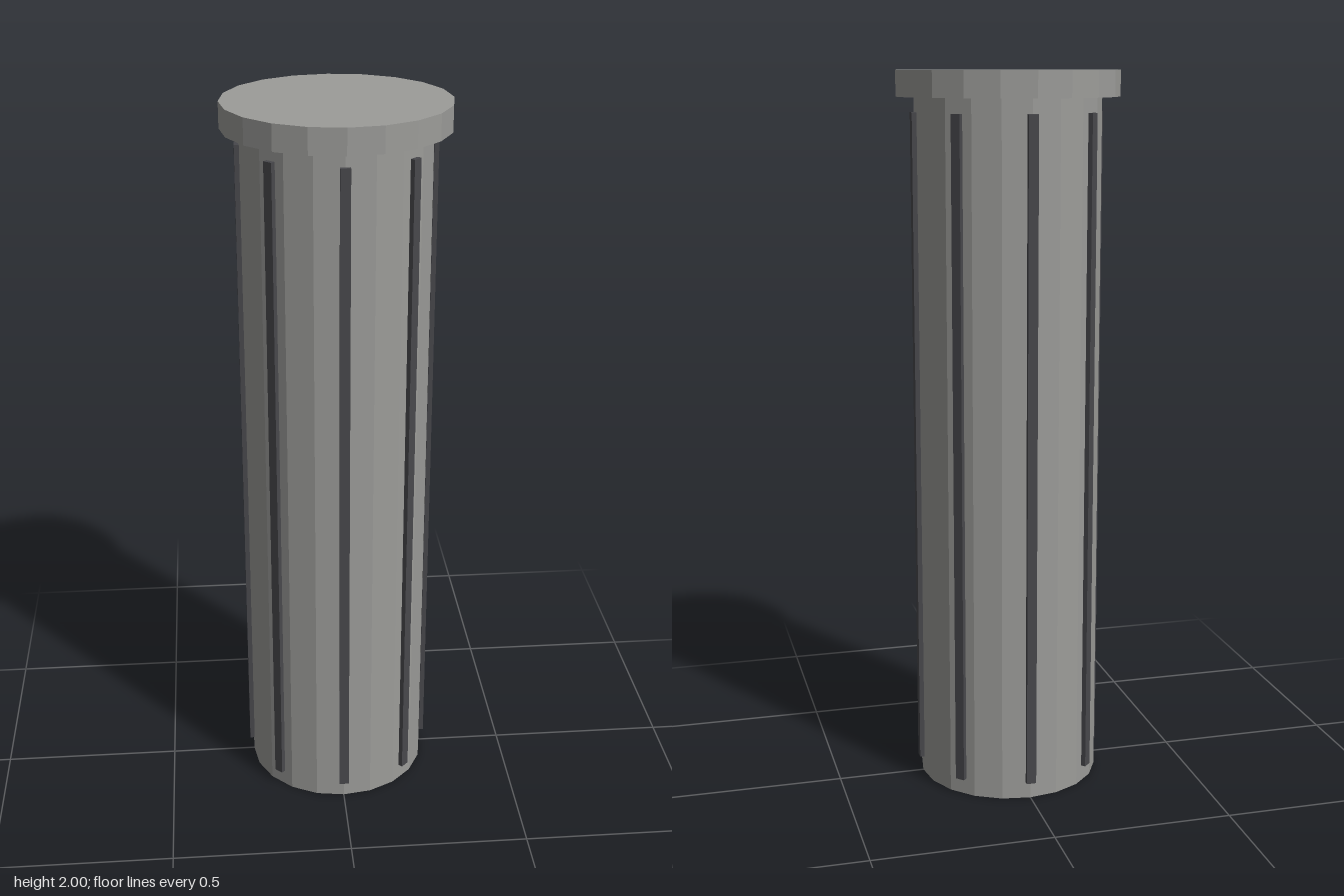
import * as THREE from 'three';

export function createModel() {
  const model = new THREE.Group();
  const grey = new THREE.MeshStandardMaterial({ name: 'warm grey', color: 0x9c9c99, flatShading: true, side: THREE.DoubleSide });
  const dark = new THREE.MeshStandardMaterial({ name: 'dark grey', color: 0x48484c, flatShading: true });

  const add = (name, geometry, material, y) => {
    const mesh = new THREE.Mesh(geometry, material);
    mesh.name = name;
    mesh.position.y = y;
    model.add(mesh);
    return mesh;
  };

  // Hollow body, open at the bottom
  const capBottom = 1.93;
  add('tube', new THREE.CylinderGeometry(0.255, 0.255, capBottom, 20, 1, true), grey, capBottom / 2);

  // Wider solid lid
  add('cap', new THREE.CylinderGeometry(0.304, 0.304, 2 - capBottom, 20), grey, (2 + capBottom) / 2);

  // Eight slim vertical ribs around the tube
  const bottom = 0.047, top = 1.89;
  const ribGeometry = new THREE.BoxGeometry(0.027, top - bottom, 0.013);
  for (let i = 0; i < 8; i++) {
    const a = (i * Math.PI) / 4;
    const rib = add('rib' + (i + 1), ribGeometry, dark, (top + bottom) / 2);
    rib.position.x = Math.sin(a) * 0.26;
    rib.position.z = Math.cos(a) * 0.26;
    rib.rotation.y = a;
  }
  return model;
}
